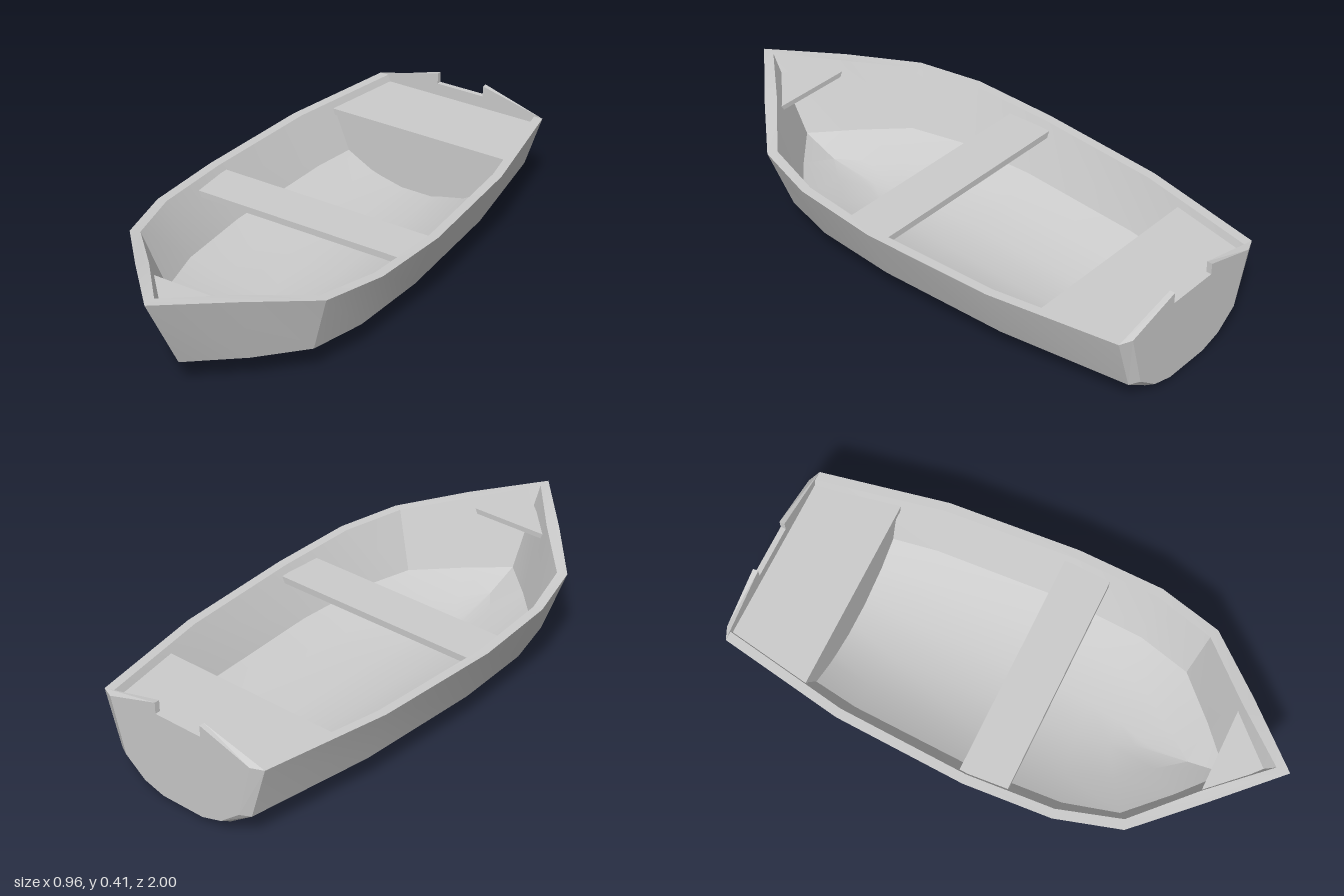
import * as THREE from 'three';
import { toCreasedNormals } from 'three/addons/utils/BufferGeometryUtils.js';

const material = new THREE.MeshStandardMaterial({ color: 0xcccccc });

function addPart(group, name, geometry) {
  const mesh = new THREE.Mesh(geometry, material);
  mesh.name = name;
  group.add(mesh);
  return mesh;
}

// Mirrors a half outline (+x side) into a full closed shape.
function mirroredShape(half) {
  const other = half.map(([x, y]) => [-x, y]).reverse();
  return new THREE.Shape([...half, ...other].map(([x, y]) => new THREE.Vector2(x, y)));
}

function extrude(half, depth) {
  return new THREE.ExtrudeGeometry(mirroredShape(half), { depth, bevelEnabled: false });
}

// Horizontal board: half outline in (x, z), with its top face at y = top.
function board(half, top, thickness) {
  return extrude(half, thickness).rotateX(Math.PI / 2).translate(0, top, 0);
}

// Long hull lines from stern to bow, each point [x, y, z].
const gunwale = [[0.36, 0.32, -0.98], [0.45, 0.32, -0.5], [0.48, 0.322, 0], [0.465, 0.335, 0.33],
  [0.4, 0.346, 0.57], [0.21, 0.385, 0.78], [0, 0.415, 1]];
const chine = [[0.295, 0.11, -0.98], [0.37, 0.11, -0.5], [0.395, 0.11, 0], [0.378, 0.11, 0.32],
  [0.325, 0.11, 0.53], [0.18, 0.11, 0.69], [0, 0.11, 0.84]];
const bilge = [[0.2, 0.045, -0.98], [0.26, 0.04, -0.5], [0.28, 0.04, 0], [0.26, 0.04, 0.28],
  [0.2, 0.04, 0.45], [0.11, 0.042, 0.58], [0, 0.045, 0.7]];
const bottom = [[0.09, 0.005, -0.98], [0.11, 0, -0.5], [0.11, 0, 0], [0.1, 0, 0.25],
  [0.08, 0.003, 0.38], [0.05, 0.01, 0.48], [0, 0.02, 0.57]];
const lines = [gunwale, chine, bilge, bottom];

// Inner skin: hull lines moved in by the planking thickness.
function inset([x, y, z], line, station) {
  const lift = [0, 0.018, 0.03, 0.035][line];
  return [Math.max(0, x - 0.035), y + lift, z - 0.05 * (station / 6) ** 3];
}

// Closed ring per station: outer skin from left to right, then inner skin back.
function hullGeometry() {
  const stations = gunwale.length;
  const positions = [];
  const mirror = ([x, y, z]) => [-x, y, z];
  for (let s = 0; s < stations; s++) {
    const outer = lines.map((line) => line[s]);
    const inner = outer.map((p, k) => inset(p, k, s));
    const ring = [...outer, ...outer.map(mirror).reverse(), ...inner.map(mirror), ...inner.slice().reverse()];
    positions.push(...ring.flat());
  }
  const n = lines.length * 4;
  const index = [];
  for (let s = 0; s < stations - 1; s++) {
    for (let j = 0; j < n; j++) {
      const a = s * n + j, b = s * n + (j + 1) % n;
      index.push(a, a + n, b, b, a + n, b + n);
    }
  }
  const geometry = new THREE.BufferGeometry();
  geometry.setAttribute('position', new THREE.Float32BufferAttribute(positions, 3));
  geometry.setIndex(index);
  return toCreasedNormals(geometry, 0.4);
}

// Transom plate with a motor notch; its rear edge is chamfered.
function transomGeometry() {
  const section = lines.map((line) => [line[0][0], line[0][1]]).reverse();
  const geometry = extrude([...section, [0.1, 0.385], [0.1, 0.342]], 0.02).translate(0, 0, -1);
  const p = geometry.attributes.position;
  for (let i = 0; i < p.count; i++) {
    if (p.getZ(i) > -0.99) continue;
    if (Math.abs(p.getX(i)) > 0.15) p.setX(i, p.getX(i) * 0.87);
    p.setY(i, Math.max(p.getY(i), 0.02));
  }
  geometry.computeVertexNormals();
  return geometry;
}

export function createModel() {
  const boat = new THREE.Group();
  boat.name = 'rowingBoat';

  addPart(boat, 'hull', hullGeometry());
  addPart(boat, 'transom', transomGeometry());

  // Seats and bow deck
  addPart(boat, 'middleSeat', board([[0.435, -0.035], [0.435, 0.145]], 0.295, 0.025));
  addPart(boat, 'rearSeat', board([[0.325, -0.98], [0.385, -0.66]], 0.293, 0.025));
  addPart(boat, 'bowDeck', board([[0.19, 0.75], [0.002, 0.94]], 0.345, 0.02));

  // Panel closing the space below the rear seat
  const panel = [[0.06, 0.03], [0.21, 0.065], [0.315, 0.125], [0.37, 0.28]];
  addPart(boat, 'rearSeatPanel', extrude(panel, 0.02)).position.z = -0.69;

  return boat;
}
